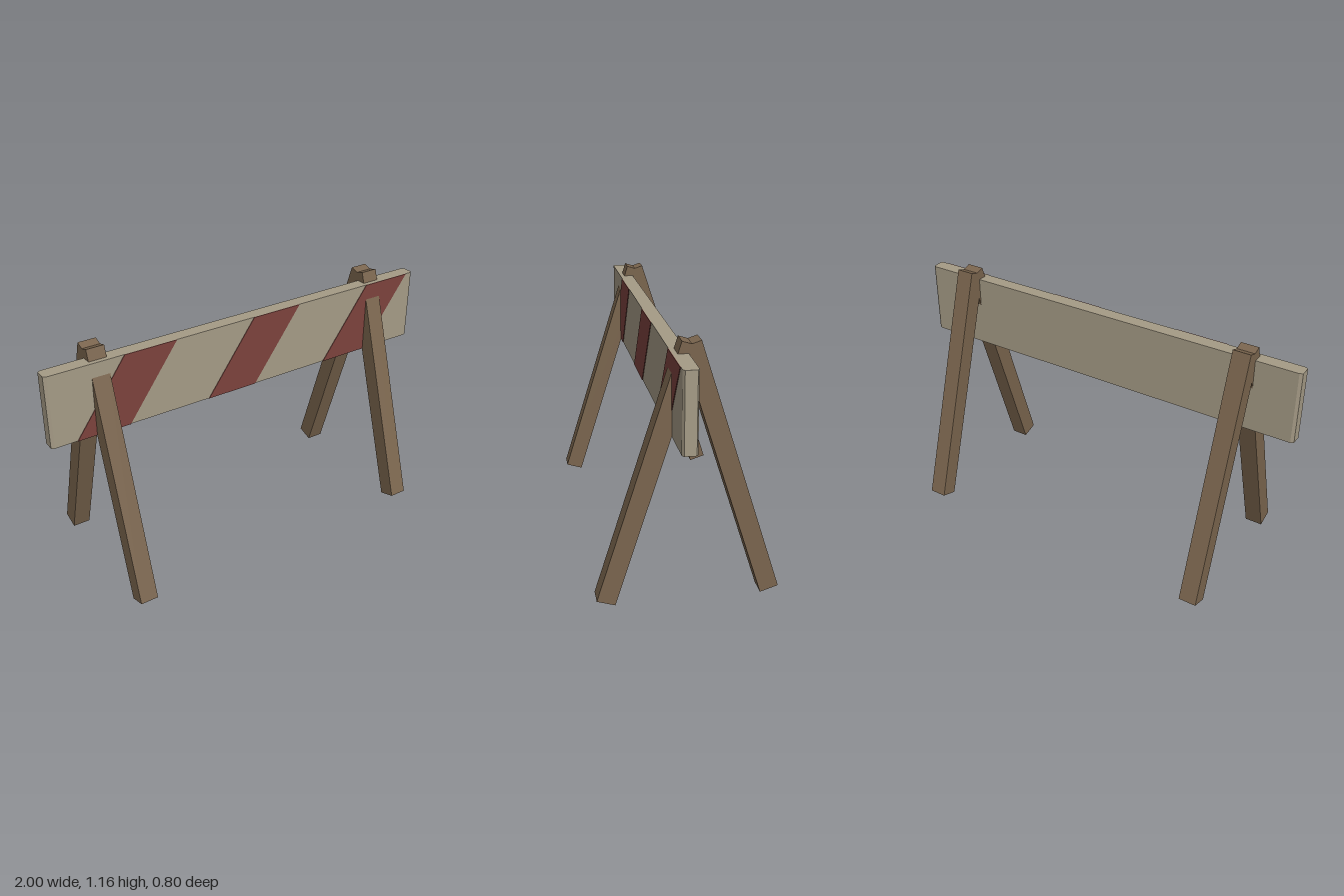
import * as THREE from 'three';

const makeMaterial = (name, color) => {
  const material = new THREE.MeshStandardMaterial({ color });
  material.name = name;
  return material;
};

export function createModel() {
  const model = new THREE.Group();
  model.name = 'barricade';

  const wood = makeMaterial('brown wood', 0x7a654e);
  const paint = makeMaterial('cream paint', 0xa59b86);
  const red = makeMaterial('red paint', 0x7c423d);

  const add = (name, geometry, material) => {
    const mesh = new THREE.Mesh(geometry, material);
    mesh.name = name;
    model.add(mesh);
    return mesh;
  };
  const polygon = (points) => new THREE.Shape(points.map(([x, y]) => new THREE.Vector2(x, y)));

  // Two A-frames, each of two leaning legs that cross at the top
  const foot = { y: 0.013, z: 0.36 };
  const topY = 1.147;
  const legLength = Math.hypot(topY - foot.y, foot.z);
  const lean = Math.atan2(foot.z, topY - foot.y);
  const legGeometry = new THREE.BoxGeometry(0.085, legLength, 0.084);
  for (const side of [1, -1]) {
    for (const end of [1, -1]) {
      const name = (end > 0 ? 'front' : 'back') + (side > 0 ? 'Left' : 'Right') + 'Leg';
      const leg = add(name, legGeometry, wood);
      leg.position.set(side * 0.745, (foot.y + topY) / 2, (end * foot.z) / 2);
      leg.rotation.x = -end * lean;
    }
  }

  // Board with chamfered vertical edges, extruded upwards from its plan
  const bottom = 0.76, top = 1.108, back = 0.012, front = 0.078;
  const cx = 0.014, cz = 0.008;
  const plan = polygon([
    [-1 + cx, -front], [1 - cx, -front], [1, -front + cz], [1, -back - cz],
    [1 - cx, -back], [-1 + cx, -back], [-1, -back - cz], [-1, -front + cz],
  ]);
  const boardGeometry = new THREE.ExtrudeGeometry(plan, { depth: top - bottom, bevelEnabled: false });
  boardGeometry.rotateX(-Math.PI / 2);
  add('board', boardGeometry, paint).position.y = bottom;

  // Slanted warning stripes on the front face
  const slant = 0.25, width = 0.256;
  const stripe = polygon([[0, bottom], [width, bottom], [width + slant, top], [slant, top]]);
  const stripeGeometry = new THREE.ExtrudeGeometry(stripe, { depth: 0.003, bevelEnabled: false });
  for (let i = 0; i < 3; i++) {
    add('stripe' + (i + 1), stripeGeometry, red).position.set(-0.88 + i * 0.665, 0, front);
  }

  return model;
}
